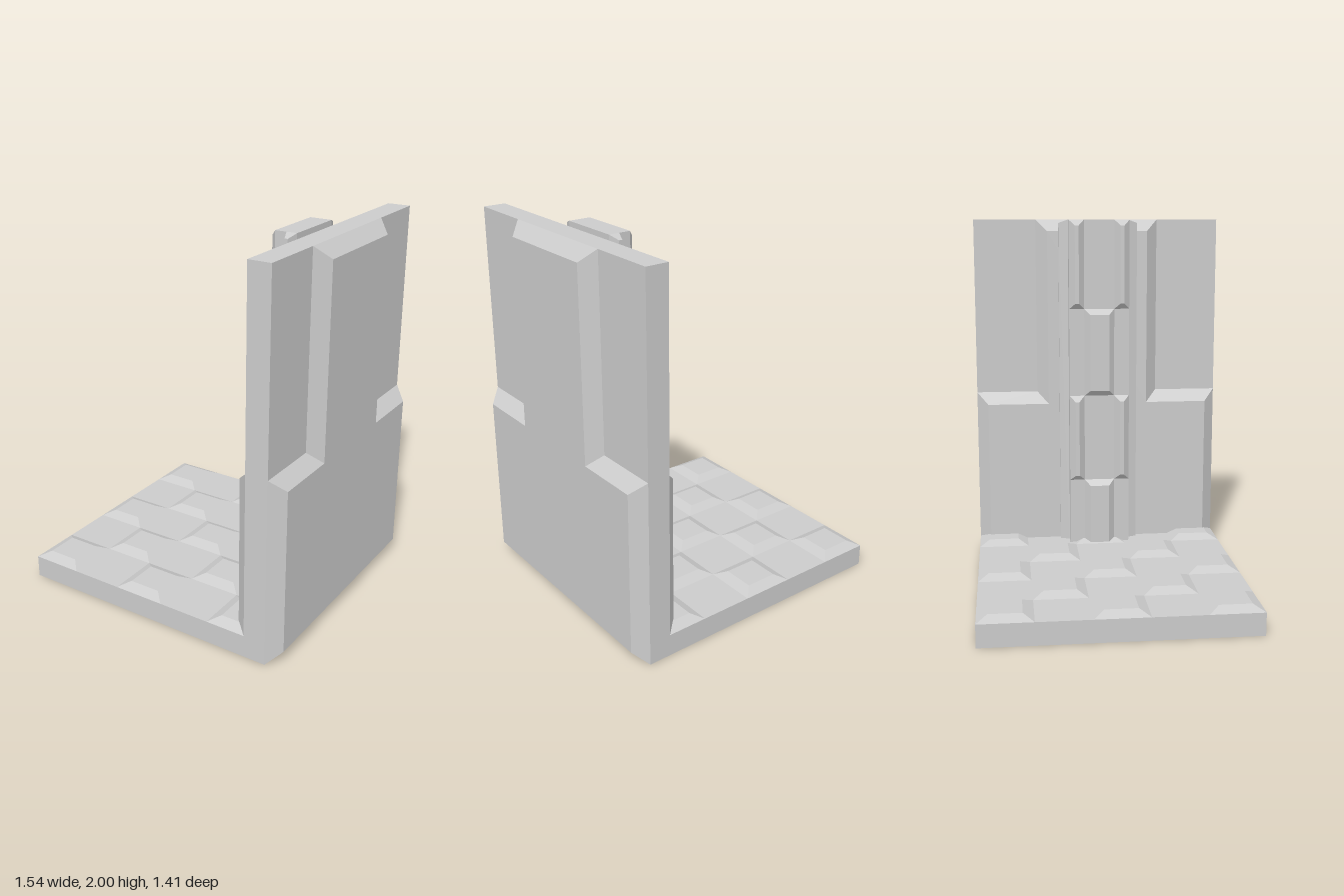
import * as THREE from 'three';

const material = new THREE.MeshStandardMaterial({ color: 0xcccccc, flatShading: true });

// Raised block: a counter-clockwise outline at z = 0 rising to a mitred, inset face at z = height
function bevelled(points, inset, height) {
  const base = points.map(([x, y]) => new THREE.Vector2(x, y));
  const n = base.length;
  const normal = (a, b) => new THREE.Vector2(a.y - b.y, b.x - a.x).normalize();
  const top = base.map((p, i) => {
    const n1 = normal(base[(i + n - 1) % n], p);
    const n2 = normal(p, base[(i + 1) % n]);
    const mitre = n1.clone().add(n2).multiplyScalar(inset / (1 + n1.dot(n2)));
    return p.clone().add(mitre);
  });
  const positions = [];
  const add = (p, z) => positions.push(p.x, p.y, z);
  for (let i = 0; i < n; i++) {
    const j = (i + 1) % n;
    add(base[i], 0); add(base[j], 0); add(top[j], height);
    add(base[i], 0); add(top[j], height); add(top[i], height);
  }
  for (const face of THREE.ShapeUtils.triangulateShape(top, [])) {
    for (const k of face) add(top[k], height);
  }
  const geometry = new THREE.BufferGeometry();
  geometry.setAttribute('position', new THREE.Float32BufferAttribute(positions, 3));
  geometry.computeVertexNormals();
  return geometry;
}

const rect = (x0, x1, y0, y1) => [[x0, y0], [x1, y0], [x1, y1], [x0, y1]];

function addMesh(parent, name, geometry) {
  const mesh = new THREE.Mesh(geometry, material);
  mesh.name = name;
  parent.add(mesh);
  return mesh;
}

function addBox(parent, name, x0, x1, y0, y1, halfZ) {
  const mesh = addMesh(parent, name, new THREE.BoxGeometry(x1 - x0, y1 - y0, halfZ * 2));
  mesh.position.set((x0 + x1) / 2, (y0 + y1) / 2, 0);
}

export function createModel() {
  const model = new THREE.Group();
  const half = 0.705;

  // Floor slab and wall slab
  addBox(model, 'floorSlab', -0.77, 0.58, 0, 0.12, half);
  addBox(model, 'wallSlab', 0.58, 0.7, 0, 2, half);

  // Checkerboard of raised floor tiles
  const tiles = new THREE.Group();
  tiles.name = 'floorTiles';
  tiles.rotation.x = -Math.PI / 2;
  tiles.position.y = 0.12;
  const edges = [-0.77, -0.49, -0.21, 0.075, 0.36, 0.58];
  const pitch = (half * 2) / 5;
  for (let i = 0; i < 5; i++) {
    for (let j = i % 2; j < 5; j += 2) {
      const z = -half + j * pitch;
      addMesh(tiles, 'floorTile', bevelled(rect(edges[i], edges[i + 1], z, z + pitch), 0.056, 0.027));
    }
  }
  model.add(tiles);

  // Stepped panels on both wall faces
  const stepped = [[-half, 0], [half, 0], [half, 1], [0.352, 1],
    [0.352, 2], [-0.352, 2], [-0.352, 1], [-half, 1]];
  for (const [name, side, x] of [['outerPanel', 1, 0.7], ['innerPanel', -1, 0.58]]) {
    const panel = addMesh(model, name, bevelled(stepped, 0.064, 0.069));
    panel.rotation.y = side * Math.PI / 2;
    panel.position.x = x;
  }

  // Pillar with a rib on each side
  addBox(model, 'pillar', 0.403, 0.52, 0, 2, 0.172);
  for (const side of [1, -1]) {
    const rib = addMesh(model, 'pillarRib', bevelled(rect(-0.028, 0.028, 0, 2), 0.019, 0.053));
    rib.rotation.y = side > 0 ? 0 : Math.PI;
    rib.position.set(0.492, 0, side * 0.172);
  }

  // Raised blocks on the pillar, alternating between the middle and the two sides
  const blocks = new THREE.Group();
  blocks.name = 'pillarBlocks';
  blocks.rotation.y = -Math.PI / 2;
  blocks.position.x = 0.403;
  for (let row = 0; row < 4; row++) {
    const spans = row % 2 ? [[-0.172, -0.086], [0.086, 0.172]] : [[-0.086, 0.086]];
    for (const [a, b] of spans) {
      addMesh(blocks, 'pillarBlock', bevelled(rect(a, b, row * 0.5, row * 0.5 + 0.5), 0.032, 0.033));
    }
  }
  model.add(blocks);

  return model;
}
